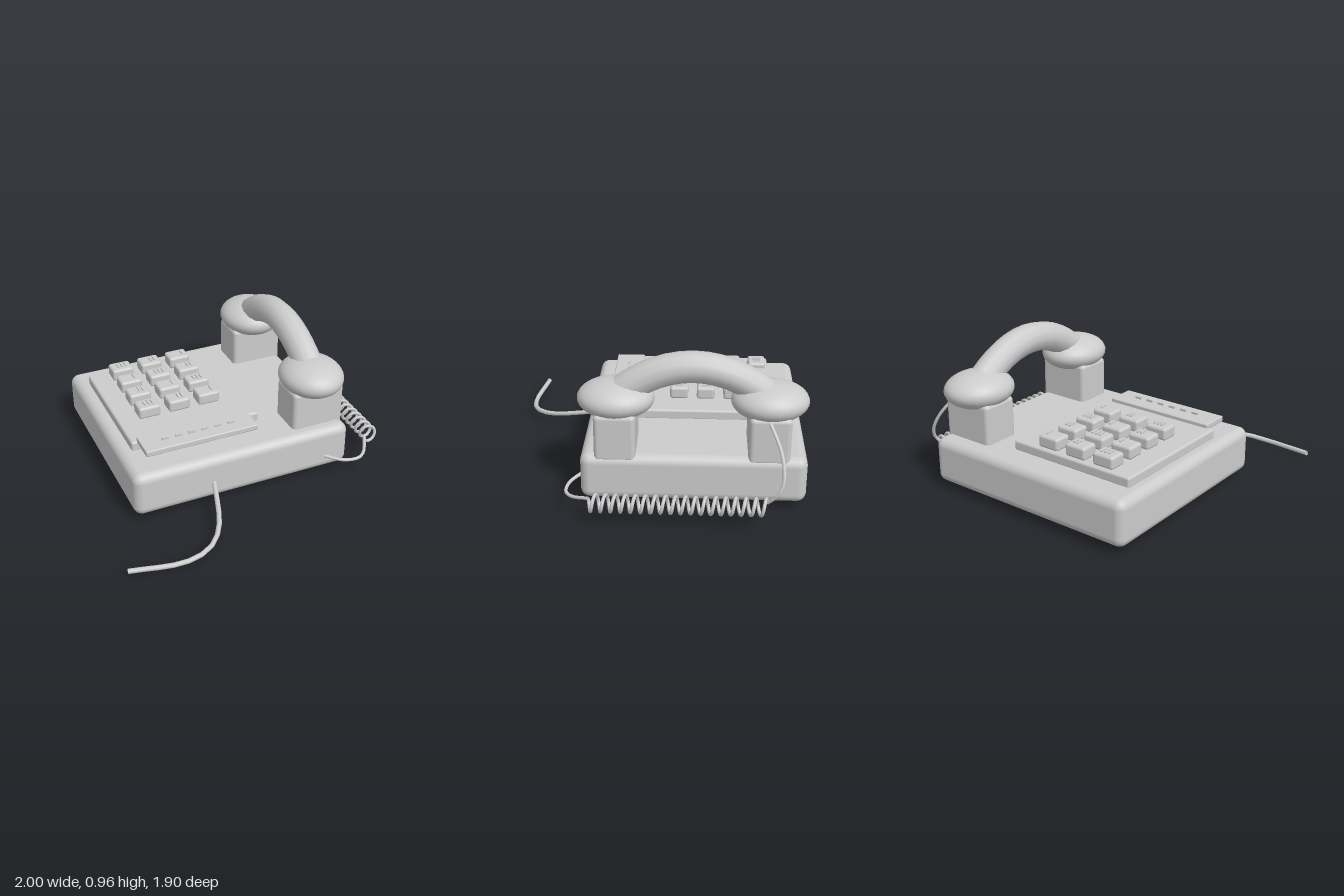
import * as THREE from 'three';
import { RoundedBoxGeometry } from 'three/addons/geometries/RoundedBoxGeometry.js';

const grey = new THREE.MeshStandardMaterial({ color: 0xcccccc });
const greyOpen = new THREE.MeshStandardMaterial({ color: 0xcccccc, side: THREE.DoubleSide });

export function createModel() {
  const model = new THREE.Group();

  function add(name, geometry, x = 0, y = 0, z = 0, material = grey) {
    const mesh = new THREE.Mesh(geometry, material);
    mesh.name = name;
    mesh.position.set(x, y, z);
    model.add(mesh);
    return mesh;
  }

  // Rounded box given by its extents along each axis
  function slab(name, [x0, x1], [y0, y1], [z0, z1], radius) {
    const geometry = new RoundedBoxGeometry(x1 - x0, y1 - y0, z1 - z0, 4, radius);
    return add(name, geometry, (x0 + x1) / 2, (y0 + y1) / 2, (z0 + z1) / 2);
  }

  // Cord through a few points
  function cord(name, points, radius, segments) {
    const curve = new THREE.CatmullRomCurve3(points.map((p) => new THREE.Vector3(...p)));
    return add(name, new THREE.TubeGeometry(curve, segments, radius, 8), 0, 0, 0, greyOpen);
  }

  // Housing, keypad panel and label strip
  slab('body', [-0.79, 0.72], [0.04, 0.345], [-0.95, 0.44], 0.06);
  slab('keypadPanel', [-0.70, 0.19], [0.335, 0.405], [-0.765, 0.145], 0.015);
  slab('labelStrip', [-0.66, 0.11], [0.39, 0.43], [0.117, 0.31], 0.008);
  for (let i = 0; i < 6; i++) {
    add('labelDash', new THREE.BoxGeometry(0.045, 0.02, 0.013), -0.5 + i * 0.091, 0.435, 0.22);
  }

  // Keys, each with one to three raised bars
  const barCounts = [[3, 2, 1], [1, 3, 2], [2, 1, 3], [3, 2, 1]];
  barCounts.forEach((row, r) => row.forEach((count, c) => {
    const x = -0.485 + c * 0.211;
    const z = -0.68 + r * 0.177;
    slab('key', [x - 0.075, x + 0.075], [0.4, 0.482], [z - 0.06, z + 0.06], 0.018);
    for (let i = 0; i < count; i++) {
      add('keyBar', new THREE.BoxGeometry(0.011, 0.018, 0.05), x + 0.033 - i * 0.027, 0.482, z);
    }
  }));

  // Feet
  for (const x of [-0.575, 0.515]) {
    for (const z of [0.27, -0.755]) {
      add('foot', new THREE.CylinderGeometry(0.068, 0.068, 0.06, 24), x, 0.03, z);
    }
  }

  // Cradle posts and the handset's rounded ends
  for (const z of [0.225, -0.713]) {
    slab('cradlePost', [0.345, 0.71], [0.3, 0.61], [z - 0.127, z + 0.127], 0.03);
    const end = add('handsetEnd', new THREE.SphereGeometry(1, 32, 20), 0.527, 0.657, z);
    end.scale.set(0.21, 0.117, 0.238);
  }

  // Arched handset grip
  const arch = new THREE.QuadraticBezierCurve3(
    new THREE.Vector3(0.527, 0.71, 0.178),
    new THREE.Vector3(0.527, 1.022, -0.245),
    new THREE.Vector3(0.527, 0.71, -0.668)
  );
  add('handsetGrip', new THREE.TubeGeometry(arch, 12, 0.098, 12), 0, 0, 0, greyOpen);

  // Coiled cord
  const turns = 18;
  class Helix extends THREE.Curve {
    getPoint(t, target = new THREE.Vector3()) {
      const a = Math.PI + t * turns * Math.PI * 2;
      return target.set(0.939 + 0.05 * Math.cos(a), 0.152 + 0.05 * Math.sin(a), 0.37 - 1.07 * t);
    }
  }
  add('coiledCord', new THREE.TubeGeometry(new Helix(), turns * 20, 0.011, 8), 0, 0, 0, greyOpen);

  // Cord leads from the coil to the body and to the handset
  cord('bodyCordLead', [
    [0.54, 0.138, 0.43], [0.65, 0.122, 0.51], [0.76, 0.118, 0.522],
    [0.82, 0.122, 0.48], [0.889, 0.152, 0.37],
  ], 0.011, 12);
  cord('handsetCordLead', [
    [0.889, 0.152, -0.70], [0.92, 0.22, -0.755], [0.91, 0.28, -0.785],
    [0.875, 0.36, -0.79], [0.81, 0.46, -0.77], [0.69, 0.6, -0.7],
  ], 0.011, 14);

  // Wall line
  cord('wallLine', [
    [-0.245, 0.17, 0.4], [-0.37, 0.08, 0.765], [-0.485, 0.055, 0.89],
    [-0.655, 0.038, 0.93], [-1, 0.05, 0.88],
  ], 0.016, 12);

  return model;
}
